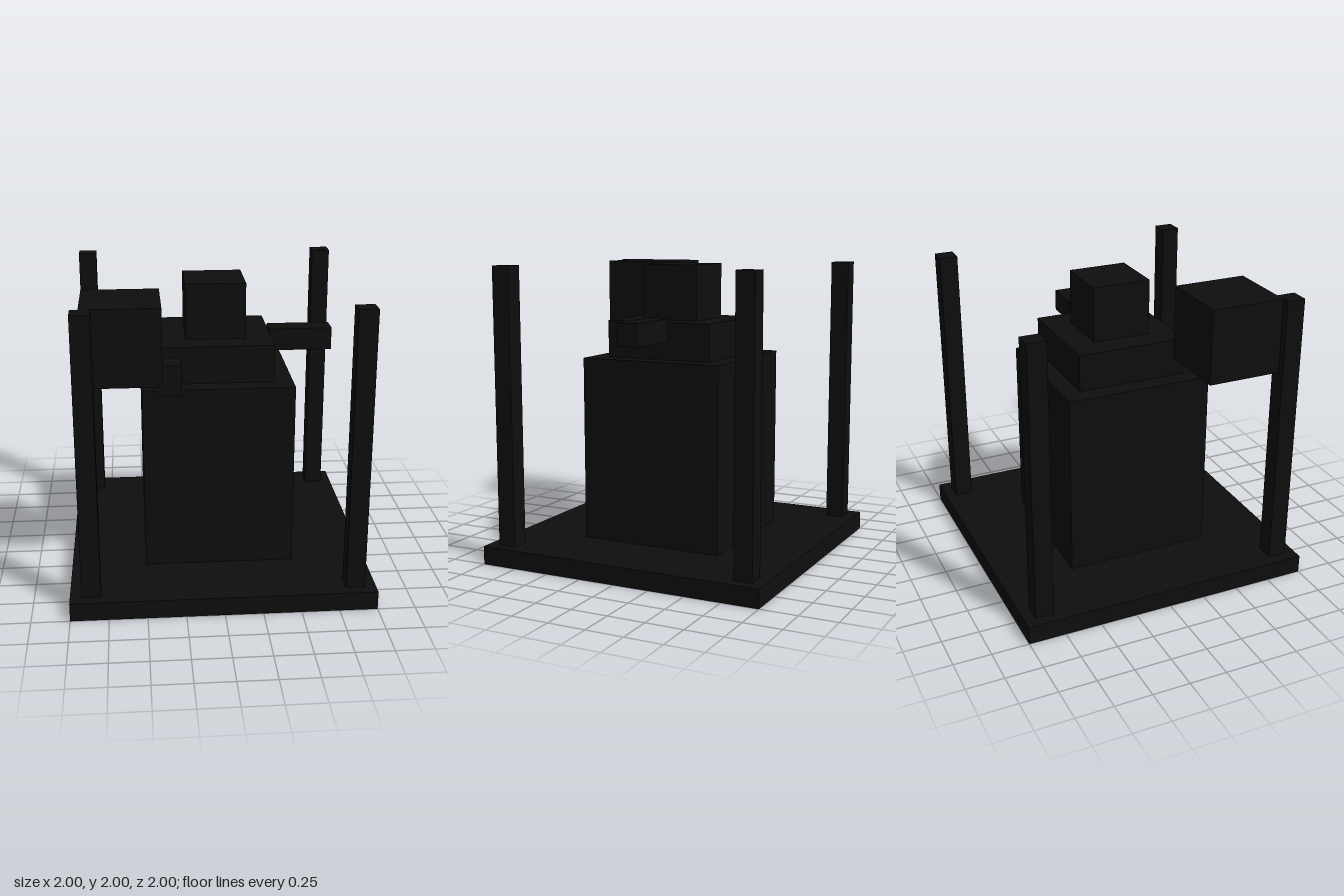
import * as THREE from 'three';

export function createModel() {
  const group = new THREE.Group();
  const black = new THREE.MeshStandardMaterial({ color: 0x0e0e0e });
  black.name = 'black';

  // Box given by its lowest and highest corners
  function box(name, [x0, y0, z0], [x1, y1, z1]) {
    const mesh = new THREE.Mesh(new THREE.BoxGeometry(x1 - x0, y1 - y0, z1 - z0), black);
    mesh.position.set((x0 + x1) / 2, (y0 + y1) / 2, (z0 + z1) / 2);
    mesh.name = name;
    group.add(mesh);
  }

  // Base plate and stepped central body
  box('base', [-1, 0, -1], [1, 0.125, 1]);
  box('body', [-0.5, 0.125, -0.5], [0.5, 1.375, 0.5]);
  box('shoulder', [-0.375, 1.375, -0.375], [0.375, 1.625, 0.375]);
  box('cap', [-0.2, 1.625, -0.2], [0.2, 2, 0.2]);

  // Corner posts
  for (const sx of [-1, 1]) {
    for (const sz of [-1, 1]) {
      const x = sx * 0.8625, z = sz * 0.8625, h = 0.0625;
      box('cornerPost', [x - h, 0.125, z - h], [x + h, 2, z + h]);
    }
  }

  // Side arm, hanging box and its small connector
  box('sideArm', [0.375, 1.5, -0.075], [0.8, 1.65, 0.075]);
  box('sideBox', [-0.875, 1.5, 0.3], [-0.375, 2, 0.8]);
  box('connector', [-0.425, 1.375, 0.45], [-0.25, 1.58, 0.625]);

  return group;
}
